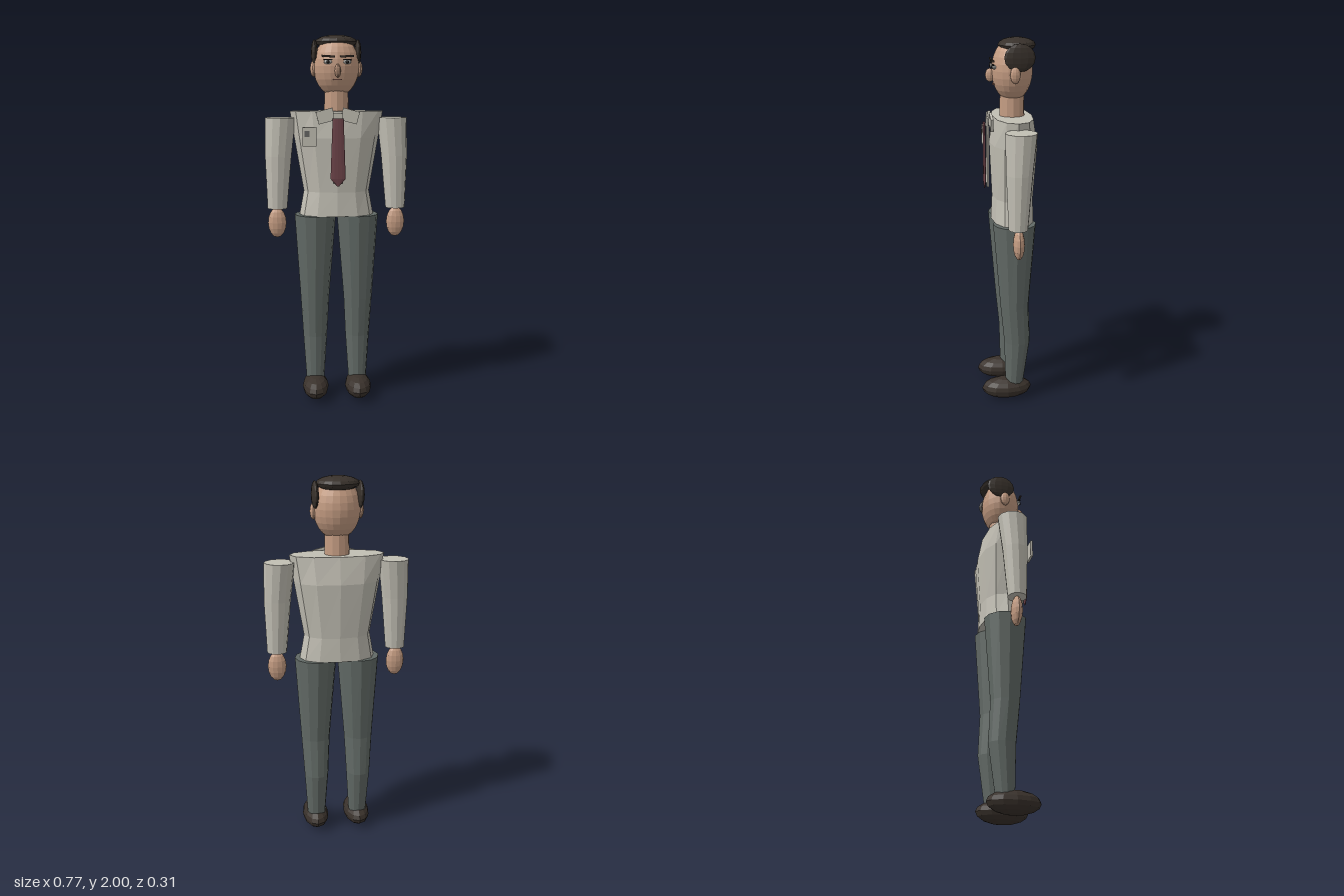
import * as THREE from 'three';

const mat = (name, color) => {
  const m = new THREE.MeshStandardMaterial({ color });
  m.name = name;
  return m;
};

// Faceted normals for the low-poly look
function facet(geo) {
  const g = geo.index ? geo.toNonIndexed() : geo;
  g.computeVertexNormals();
  return g;
}

// Closed loft through elliptical rings [y, cx, cz, rx, rz], listed bottom to top;
// power below 1 makes the sections squarer
function loft(rings, sides, power = 1) {
  const pos = [], idx = [];
  const soft = v => Math.sign(v) * Math.pow(Math.abs(v), power);
  for (const [y, cx, cz, rx, rz] of rings) {
    for (let i = 0; i < sides; i++) {
      const a = (i / sides) * Math.PI * 2;
      pos.push(cx + rx * soft(Math.cos(a)), y, cz + rz * soft(Math.sin(a)));
    }
  }
  for (let r = 0; r < rings.length - 1; r++) {
    for (let i = 0; i < sides; i++) {
      const n = (i + 1) % sides, a = r * sides + i, b = r * sides + n;
      idx.push(a, a + sides, b, b, a + sides, b + sides);
    }
  }
  const last = rings.length - 1, c = rings.length * sides;
  for (const r of [0, last]) pos.push(rings[r][1], rings[r][0], rings[r][2]);
  for (let i = 0; i < sides; i++) {
    const n = (i + 1) % sides;
    idx.push(c, i, n, c + 1, last * sides + n, last * sides + i);
  }
  const g = new THREE.BufferGeometry();
  g.setAttribute('position', new THREE.Float32BufferAttribute(pos, 3));
  g.setIndex(idx);
  return facet(g);
}

const ball = (rx, ry, rz, w = 12, h = 8) =>
  facet(new THREE.SphereGeometry(1, w, h).scale(rx, ry, rz));
const box = (w, h, d) => new THREE.BoxGeometry(w, h, d);

export function createModel() {
  const root = new THREE.Group();
  root.name = 'officeWorker';

  const skin = mat('skin', 0xc49c82);
  const hair = mat('hair', 0x38312b);
  const shirt = mat('shirt', 0xc2bfb4);
  const trousers = mat('trousers', 0x626a66);
  const leather = mat('shoeLeather', 0x39312b);
  const tieRed = mat('tieRed', 0x6e444a);
  const white = mat('eyeWhite', 0xd0d0ca);
  const dark = mat('dark', 0x1d1b1a);
  const lip = mat('lip', 0x8a5f54);
  const grey = mat('badgeGrey', 0x666664);

  const add = (name, geo, material, x = 0, y = 0, z = 0, rotZ = 0) => {
    const m = new THREE.Mesh(geo, material);
    m.name = name;
    m.position.set(x, y, z);
    m.rotation.z = rotZ;
    root.add(m);
    return m;
  };

  // Head, neck and face centre line
  add('head', ball(0.123, 0.16, 0.107, 20, 14), skin, 0, 1.835, -0.025);
  add('neck', facet(new THREE.CylinderGeometry(0.063, 0.067, 0.13, 12)), skin, 0, 1.64, -0.025);
  add('nose', ball(0.016, 0.035, 0.024, 10, 8), skin, 0, 1.81, 0.091);
  add('mouth', box(0.045, 0.006, 0.008), lip, 0, 1.765, 0.073);
  add('hairTop', ball(0.113, 0.038, 0.098, 16, 8), hair, 0, 1.962, -0.049);

  // Shirt body
  add('torso', loft([
    [1.04, 0, -0.025, 0.202, 0.115],
    [1.17, 0, -0.027, 0.178, 0.11],
    [1.46, 0, -0.03, 0.228, 0.126],
    [1.6, 0, -0.025, 0.25, 0.105],
  ], 12, 0.9), shirt);
  add('placket', box(0.052, 0.37, 0.01), shirt, 0, 1.405, 0.105);

  // Necktie with a pointed end
  add('tie', loft([
    [1.21, 0, 0.122, 0.006, 0.003],
    [1.25, 0, 0.122, 0.04, 0.007],
    [1.565, 0, 0.122, 0.029, 0.006],
  ], 12), tieRed);

  // Badge on the right chest
  add('badge', box(0.073, 0.1, 0.012), shirt, -0.15, 1.47, 0.111);
  add('badgePhoto', box(0.026, 0.032, 0.006), grey, -0.163, 1.485, 0.117);

  // Paired parts, left is +x
  for (const s of [-1, 1]) {
    const side = s > 0 ? 'left' : 'right';

    add(side + 'Ear', ball(0.019, 0.043, 0.027, 10, 8), skin, s * 0.121, 1.822, -0.025);
    add(side + 'SideHair', ball(0.018, 0.07, 0.079), hair, s * 0.116, 1.906, -0.049);
    add(side + 'Eyebrow', box(0.07, 0.01, 0.009), hair, s * 0.049, 1.884, 0.079, s * 0.06);
    add(side + 'Eye', ball(0.023, 0.011, 0.012, 10, 6), white, s * 0.05, 1.855, 0.073);
    add(side + 'Pupil', ball(0.009, 0.01, 0.006, 8, 6), dark, s * 0.05, 1.855, 0.083);
    add(side + 'UpperLid', box(0.046, 0.005, 0.008), dark, s * 0.05, 1.866, 0.078);

    add(side + 'Collar', box(0.09, 0.066, 0.014), shirt, s * 0.064, 1.577, 0.092, -s * 0.26);

    add(side + 'Sleeve', loft([
      [1.075, s * 0.323, -0.013, 0.053, 0.05],
      [1.36, s * 0.315, -0.02, 0.071, 0.068],
      [1.565, s * 0.301, -0.03, 0.081, 0.081],
    ], 12), shirt);
    add(side + 'Hand', ball(0.05, 0.083, 0.03), skin, s * 0.325, 0.995, -0.016);

    add(side + 'TrouserLeg', loft([
      [0.09, s * 0.119, -0.025, 0.05, 0.05],
      [0.35, s * 0.119, -0.04, 0.067, 0.072],
      [0.57, s * 0.12, -0.025, 0.079, 0.078],
      [1.04, s * 0.116, -0.024, 0.113, 0.115],
    ], 12), trousers);
    add(side + 'Shoe', ball(0.073, 0.061, 0.14), leather, s * 0.12, 0.061, 0.019);
  }

  return root;
}
